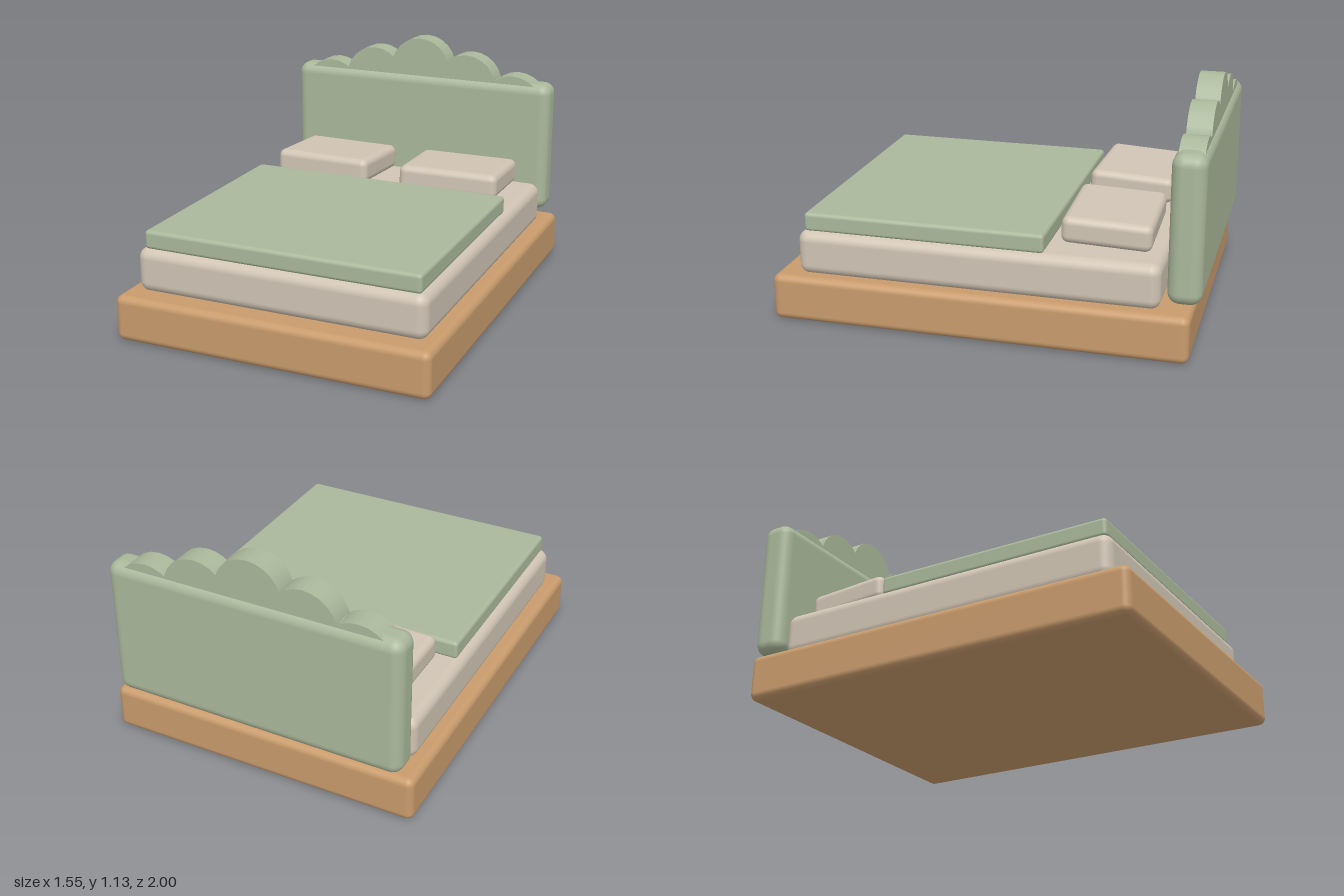
import * as THREE from 'three';
import { RoundedBoxGeometry } from 'three/addons/geometries/RoundedBoxGeometry.js';

const flat = (name, color) => {
  const m = new THREE.MeshStandardMaterial({ color });
  m.name = name;
  return m;
};

export function createModel() {
  const bed = new THREE.Group();
  bed.name = 'bed';
  const wood = flat('wood', 0xc89b6c);
  const linen = flat('linen', 0xd0c4b4);
  const sage = flat('sage', 0xaab89b);

  // Rounded block given by its extents on each axis
  const block = (name, [x0, x1], [y0, y1], [z0, z1], radius, material) => {
    const geometry = new RoundedBoxGeometry(x1 - x0, y1 - y0, z1 - z0, 5, radius);
    const mesh = new THREE.Mesh(geometry, material);
    mesh.name = name;
    mesh.position.set((x0 + x1) / 2, (y0 + y1) / 2, (z0 + z1) / 2);
    bed.add(mesh);
    return mesh;
  };

  block('bedBase', [-0.775, 0.775], [0, 0.222], [-0.96, 1], 0.035, wood);
  block('mattress', [-0.715, 0.715], [0.212, 0.426], [-0.818, 0.893], 0.05, linen);
  block('blanket', [-0.682, 0.682], [0.42, 0.51], [-0.285, 0.865], 0.018, sage);
  block('headboard', [-0.73, 0.73], [0.255, 0.942], [-1, -0.845], 0.055, sage);

  // Pillows, tipped slightly and turned in mirrored directions
  for (const side of [-1, 1]) {
    const name = side > 0 ? 'leftPillow' : 'rightPillow';
    const pillow = block(name, [-0.26, 0.26], [0.445, 0.57], [-0.752, -0.338], 0.035, linen);
    pillow.position.x = side * 0.345;
    pillow.rotation.set(-0.045, side * 0.03, 0);
  }

  // Scalloped crest: equal discs stepping down from the middle
  const disc = new THREE.CylinderGeometry(0.165, 0.165, 0.115, 24).rotateX(Math.PI / 2);
  [[-0.525, 0.81], [-0.265, 0.9], [0, 0.97], [0.265, 0.9], [0.525, 0.81]].forEach(([x, y], i) => {
    const scallop = new THREE.Mesh(disc, sage);
    scallop.name = `scallop${i + 1}`;
    scallop.position.set(x, y, -0.9225);
    bed.add(scallop);
  });

  return bed;
}
